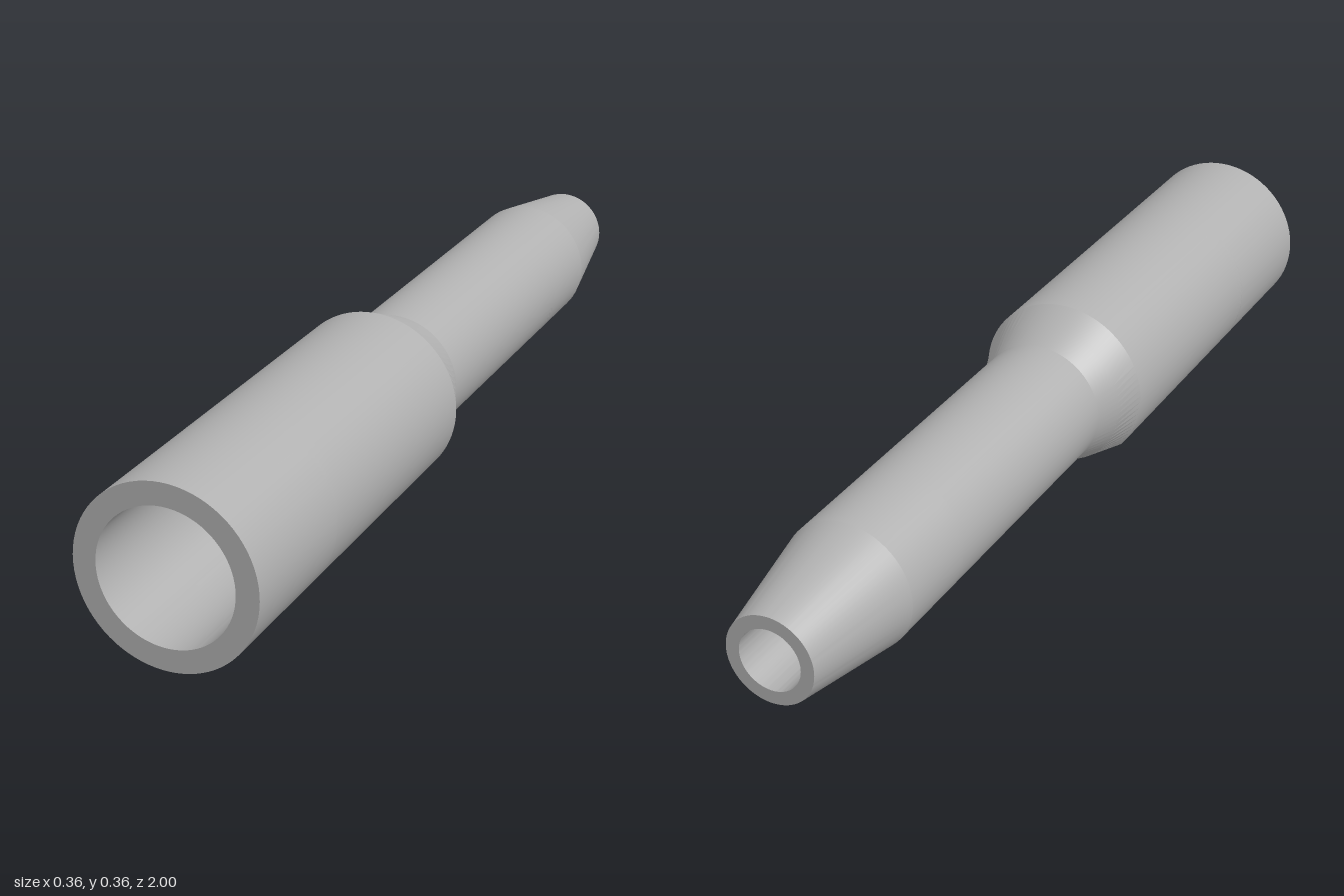
import * as THREE from 'three';
import { toCreasedNormals } from 'three/addons/utils/BufferGeometryUtils.js';

const AXIS = 0.18; // height of the long axis
const deg = Math.PI / 180;

// Ring around the axis: main wall at radius r, underside panel (within +-gap degrees) at radius p
function ring(z, r, gap, p) {
  const pts = [], g = gap * deg, wall = 60, panel = 16;
  const add = (a, rad) => pts.push(rad * Math.sin(a), AXIS - rad * Math.cos(a), z);
  for (let i = 0; i <= wall; i++) add(g + (2 * Math.PI - 2 * g) * i / wall, r);
  for (let i = 0; i <= panel; i++) add(-g + 2 * g * i / panel, p);
  return pts;
}

// Skin closed rings one after another
function loft(stations) {
  const rings = stations.map(([z, r, gap, p = r]) => ring(z, r, gap, p));
  const n = rings[0].length / 3, index = [];
  for (let s = 0; s < rings.length - 1; s++) {
    for (let i = 0; i < n; i++) {
      const a = s * n + i, b = s * n + (i + 1) % n;
      index.push(a, a + n, b, b, a + n, b + n);
    }
  }
  const geo = new THREE.BufferGeometry();
  geo.setAttribute('position', new THREE.Float32BufferAttribute(rings.flat(), 3));
  geo.setIndex(index);
  return toCreasedNormals(geo, 0.14);
}

export function createModel() {
  const model = new THREE.Group();
  const grey = new THREE.MeshStandardMaterial({ color: 0xb0b0b0 });
  grey.name = 'grey';
  const add = (name, geo, x = 0, y = 0, z = 0) => {
    const mesh = new THREE.Mesh(geo, grey);
    mesh.name = name;
    mesh.position.set(x, y, z);
    model.add(mesh);
  };

  // Stepped housing: front bore, outer wall with recessed underside panel, rear bore
  add('housing', loft([
    [0.06, 0, 35], [0.06, 0.125, 35], [0.14, 0.135, 35], [1, 0.135, 35],
    [1, 0.18, 35], [0.7, 0.18, 35],
    [0.7, 0.18, 35, 0.165], [0.693, 0.18, 43, 0.165], [0.683, 0.18, 47, 0.165], [0.665, 0.18, 50, 0.165],
    [0.14, 0.18, 50, 0.165], [0.08, 0.155, 32, 0.147], [0.03, 0.135, 20, 0.13],
    [-0.54, 0.135, 20, 0.13], [-0.56, 0.135, 16, 0.13], [-0.56, 0.135, 16],
    [-0.74, 0.135, 16], [-1, 0.09, 16],
    [-1, 0.063, 16], [-0.3, 0.063, 16], [-0.3, 0, 16],
  ]));

  // Bulkhead across the front bore, with a pocket on each side
  const disc = new THREE.Shape().absarc(0, 0, 0.1345, 0, Math.PI * 2);
  for (const s of [1, -1]) {
    disc.holes.push(new THREE.Path([[0.118, 0.028], [0.13, 0.028], [0.133, 0], [0.127, -0.035],
      [0.118, -0.055], [0.106, -0.05], [0.113, -0.03], [0.118, 0]]
      .map(([x, y]) => new THREE.Vector2(s * x, y))));
  }
  const extrude = (shape, depth) =>
    new THREE.ExtrudeGeometry(shape, { depth, bevelEnabled: false, curveSegments: 32 });
  add('bulkhead', extrude(disc, 0.08), 0, AXIS, 0.07);

  // Raised cradle around the round core
  const cradle = new THREE.Shape([[-0.085, -0.07], [0.085, -0.07], [0.085, 0.03], [0.08, 0.03],
    [0.072, 0.074], [-0.072, 0.074], [-0.08, 0.03], [-0.085, 0.03]]
    .map(([x, y]) => new THREE.Vector2(x, y)));
  cradle.holes.push(new THREE.Path().absarc(0, 0.001, 0.07, 0, Math.PI * 2));
  add('cradle', extrude(cradle, 0.02), 0, AXIS, 0.15);

  // Small side stops and the flat plate on the bore floor
  add('leftStop', new THREE.BoxGeometry(0.026, 0.03, 0.02), 0.099, 0.126, 0.16);
  add('rightStop', new THREE.BoxGeometry(0.026, 0.015, 0.02), -0.1, 0.118, 0.16);
  add('floorPlate', new THREE.BoxGeometry(0.135, 0.012, 0.5), 0, 0.057, 0.4);

  return model;
}
